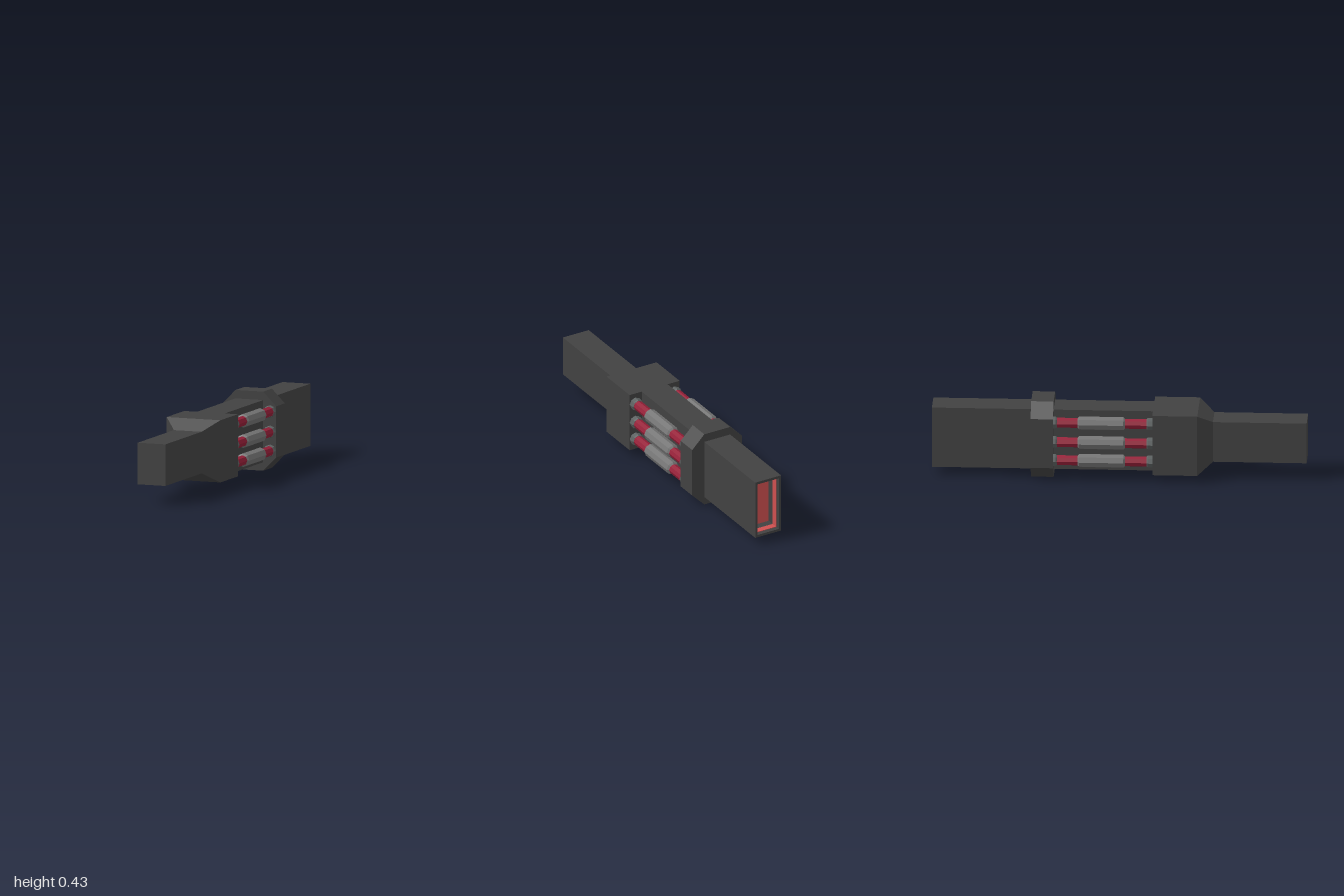
import * as THREE from 'three';

const mat = (name, color, extra = {}) => {
  const m = new THREE.MeshStandardMaterial({ color, ...extra });
  m.name = name;
  return m;
};

export function createModel() {
  const dark = mat('dark casing', 0x424242);
  const grey = mat('grey sleeve', 0x757575, { flatShading: true });
  const steel = mat('cap steel', 0x5a5f5f, { flatShading: true });
  const crimson = mat('crimson rod', 0x961f38, { flatShading: true });
  const glow = mat('emitter red', 0xd05050);

  const model = new THREE.Group();
  model.name = 'hilt';
  const MID = 0.215; // height of the long axis

  const add = (name, geo, material, x = 0, y = 0, z = 0, parent = model) => {
    const mesh = new THREE.Mesh(geo, material);
    mesh.name = name;
    mesh.position.set(x, y, z);
    parent.add(mesh);
    return mesh;
  };
  // Box given by full width and height, running from z0 to z1
  const bar = (name, w, h, z0, z1, material) =>
    add(name, new THREE.BoxGeometry(w, h, z1 - z0), material, 0, MID, (z0 + z1) / 2);

  // Rectangular frame with a rectangular hole, running from z0 to z1
  const rect = (target, w, h) => {
    target.moveTo(-w / 2, -h / 2);
    target.lineTo(w / 2, -h / 2);
    target.lineTo(w / 2, h / 2);
    target.lineTo(-w / 2, h / 2);
    target.closePath();
    return target;
  };
  const frame = (name, w, h, wall, z0, z1, material) => {
    const shape = rect(new THREE.Shape(), w, h);
    shape.holes.push(rect(new THREE.Path(), w - 2 * wall, h - 2 * wall));
    const geo = new THREE.ExtrudeGeometry(shape, { depth: z1 - z0, bevelEnabled: false });
    add(name, geo, material, 0, MID, z0);
  };

  // Casing: slim grip, tapered shoulder, wide block and central spine
  bar('grip', 0.16, 0.224, 0.5, 1, dark);
  bar('block', 0.31, 0.335, 0.18, 0.42, dark);
  bar('spine', 0.16, 0.335, -0.89, 0.18, dark);

  const taper = new THREE.BoxGeometry(0.31, 0.335, 0.08);
  const p = taper.attributes.position;
  for (let i = 0; i < p.count; i++) {
    if (p.getZ(i) > 0) p.setXY(i, Math.sign(p.getX(i)) * 0.08, Math.sign(p.getY(i)) * 0.112);
  }
  taper.computeVertexNormals();
  add('shoulder', taper, dark, 0, MID, 0.46);

  // Chamfered collar
  const half = [[0.155, -0.138], [0.155, 0.138], [0.08, 0.213]];
  const outline = [...half, ...half.map(([x, y]) => [-x, -y])];
  outline.splice(3, 0, [-0.08, 0.213]);
  outline.push([0.08, -0.213]);
  const ring = [
    [0.155, -0.138], [0.155, 0.138], [0.08, 0.213], [-0.08, 0.213],
    [-0.155, 0.138], [-0.155, -0.138], [-0.08, -0.213], [0.08, -0.213],
  ].map(([x, y]) => new THREE.Vector2(x, y));
  add('collar', new THREE.ExtrudeGeometry(new THREE.Shape(ring), { depth: 0.12, bevelEnabled: false }),
    dark, 0, MID, -0.47);

  // Hollow muzzle with a red band and a red inner panel
  frame('muzzle', 0.16, 0.335, 0.014, -1, -0.89, dark);
  frame('muzzleBand', 0.132, 0.307, 0.003, -0.975, -0.94, glow);
  add('emitterPanel', new THREE.BoxGeometry(0.13, 0.305, 0.006), glow, 0, MID, -0.893);

  // Eight-sided turned part along z; the profile lists [radius, z]
  const turned = (profile) => new THREE.LatheGeometry(
    profile.map(([r, z]) => new THREE.Vector2(r, z)), 8).rotateX(Math.PI / 2);
  const rodGeo = turned([[0, -0.35], [0.028, -0.35], [0.028, 0.18], [0, 0.18]]);
  const sleeveGeo = turned([[0.027, -0.22], [0.037, -0.21], [0.037, 0.025], [0.027, 0.035]]);
  const frontCapGeo = turned([[0, 0.148], [0.029, 0.148], [0.034, 0.155], [0.034, 0.182], [0, 0.182]]);
  const rearCapGeo = turned([[0, -0.355], [0.034, -0.355], [0.034, -0.337], [0.029, -0.33], [0, -0.33]]);

  // Three rods down each side
  for (const side of [-1, 1]) {
    for (const y of [0.324, 0.214, 0.112]) {
      const rod = new THREE.Group();
      rod.name = side > 0 ? 'leftRod' : 'rightRod';
      rod.position.set(side * 0.121, y, 0);
      model.add(rod);
      add('rodCore', rodGeo, crimson, 0, 0, 0, rod);
      add('rodSleeve', sleeveGeo, grey, 0, 0, 0, rod);
      add('rodFrontCap', frontCapGeo, steel, 0, 0, 0, rod);
      add('rodRearCap', rearCapGeo, steel, 0, 0, 0, rod);
    }
  }
  return model;
}
